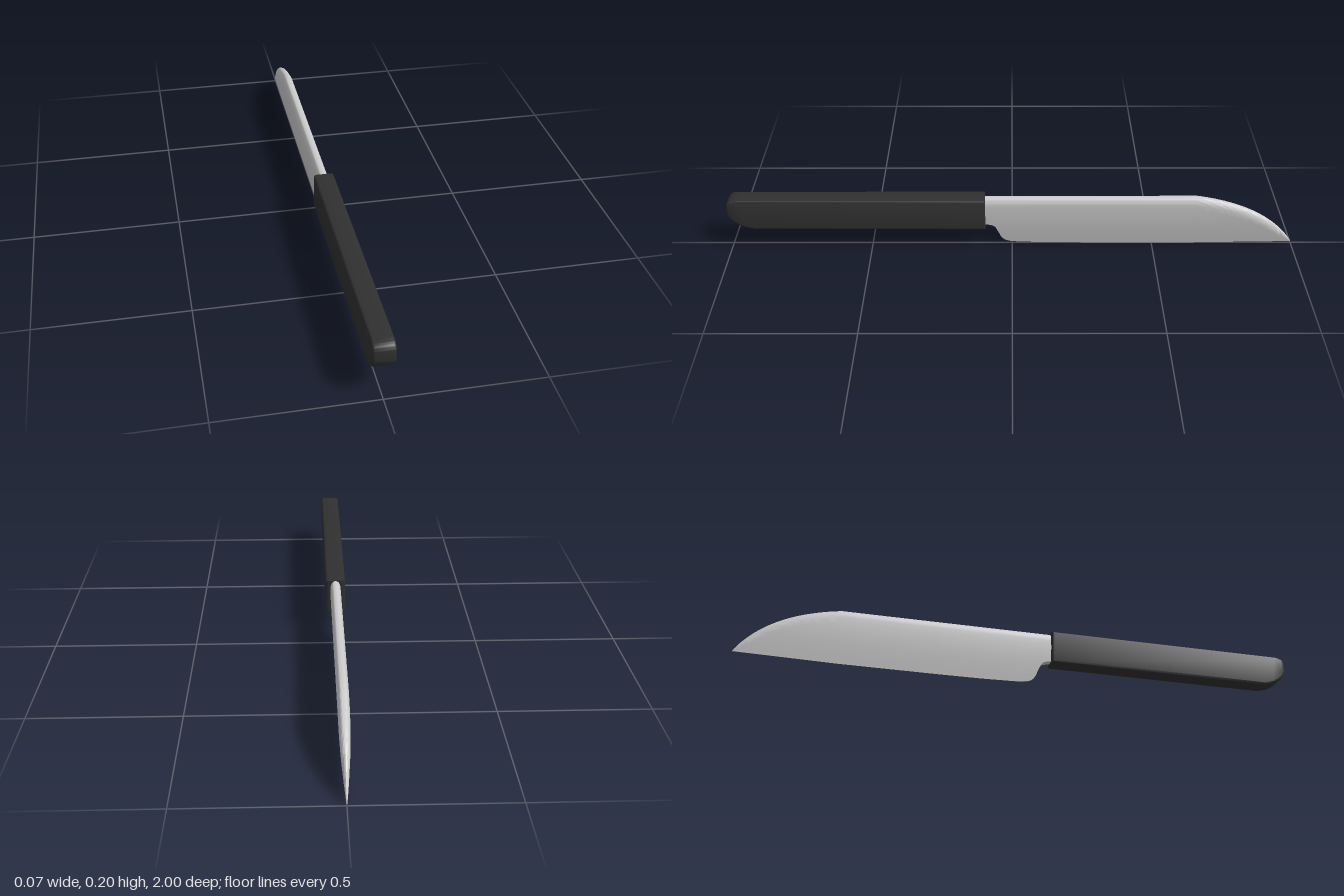
import * as THREE from 'three';
import { mergeVertices, toCreasedNormals } from 'three/addons/utils/BufferGeometryUtils.js';

const v2 = (x, y) => new THREE.Vector2(x, y);

// Handle: side outline (z, y) extruded across x with rounded edges
function makeHandle() {
  const s = new THREE.Shape();
  s.moveTo(0.095, 0.08);
  s.lineTo(0.9, 0.08);
  s.bezierCurveTo(0.95, 0.082, 1, 0.115, 1, 0.15);
  s.lineTo(1, 0.172);
  s.quadraticCurveTo(1, 0.2, 0.96, 0.2);
  s.lineTo(0.095, 0.2);
  s.closePath();
  const bevel = 0.009, width = 0.07;
  let g = new THREE.ExtrudeGeometry(s, {
    depth: width - 2 * bevel, bevelEnabled: true, bevelThickness: bevel,
    bevelSize: bevel, bevelOffset: -bevel, bevelSegments: 4, curveSegments: 14,
  });
  g.translate(0, 0, -(width - 2 * bevel) / 2);
  g.rotateY(-Math.PI / 2);
  g.deleteAttribute('normal');
  g.deleteAttribute('uv');
  g = toCreasedNormals(mergeVertices(g, 1e-5), 0.7);
  const mesh = new THREE.Mesh(g, new THREE.MeshStandardMaterial({ color: 0x303030 }));
  mesh.name = 'handle';
  return mesh;
}

// Half thickness of the ground blade at height y
const halfThickness = (y) => 0.0185 * Math.sin(Math.min(1, y / 0.165) * Math.PI / 2);

// Blade stations: [z, bottom, top] from the handle to the tip
function bladeStations() {
  const out = [];
  const spine = 0.199;
  // Notch beside the handle, sweeping down to the heel
  const heel = new THREE.SplineCurve([
    v2(0.11, 0.09), v2(0.085, 0.088), v2(0.062, 0.078), v2(0.048, 0.05),
    v2(0.036, 0.025), v2(0.015, 0.01), v2(-0.03, 0.004),
  ]);
  for (const p of heel.getPoints(36)) out.push([p.x, p.y, spine]);
  // Straight run
  for (const z of [-0.15, -0.3, -0.45, -0.6]) out.push([z, z > -0.2 ? 0.001 : 0, spine]);
  // Curved drop to the point
  const drop = new THREE.QuadraticBezierCurve(v2(-0.65, spine), v2(-0.9, 0.16), v2(-1, 0.007));
  for (const p of drop.getPoints(28)) out.push([p.x, 0.006 * (-0.65 - p.x) / 0.35, p.y]);
  return out;
}

// Blade: wedge sections with a rounded spine, lofted along z
function makeBlade() {
  const sideSteps = 8, roundSteps = 7;
  const pos = [], idx = [];
  const stations = bladeStations();
  let n = 0;
  for (const [z, bottom, top] of stations) {
    const h = Math.min(0.03, 0.35 * (top - bottom));
    const shoulder = top - h;
    const half = [];
    for (let i = 0; i <= sideSteps; i++) {
      const y = bottom + (shoulder - bottom) * i / sideSteps;
      half.push([halfThickness(y), y]);
    }
    for (let i = 1; i <= roundSteps; i++) {
      const a = i / roundSteps * Math.PI / 2;
      half.push([halfThickness(shoulder) * Math.cos(a), shoulder + h * Math.sin(a)]);
    }
    const ring = [...half, ...half.slice(0, -1).reverse().map(([x, y]) => [-x, y])];
    n = ring.length;
    for (const [x, y] of ring) pos.push(x, y, z);
  }
  for (let i = 0; i < stations.length - 1; i++) {
    for (let j = 0; j < n; j++) {
      const k = (j + 1) % n;
      const a = i * n + j, b = i * n + k, c = a + n, d = b + n;
      idx.push(a, c, b, b, c, d);
    }
  }
  // End caps
  const last = (stations.length - 1) * n;
  for (let j = 1; j < n - 1; j++) idx.push(0, j, j + 1, last, last + j + 1, last + j);
  const g = new THREE.BufferGeometry();
  g.setAttribute('position', new THREE.Float32BufferAttribute(pos, 3));
  g.setIndex(idx);
  const mesh = new THREE.Mesh(toCreasedNormals(g, 0.8), new THREE.MeshStandardMaterial({ color: 0xcccccc }));
  mesh.name = 'blade';
  return mesh;
}

export function createModel() {
  const group = new THREE.Group();
  group.name = 'knife';
  group.add(makeHandle(), makeBlade());
  return group;
}
